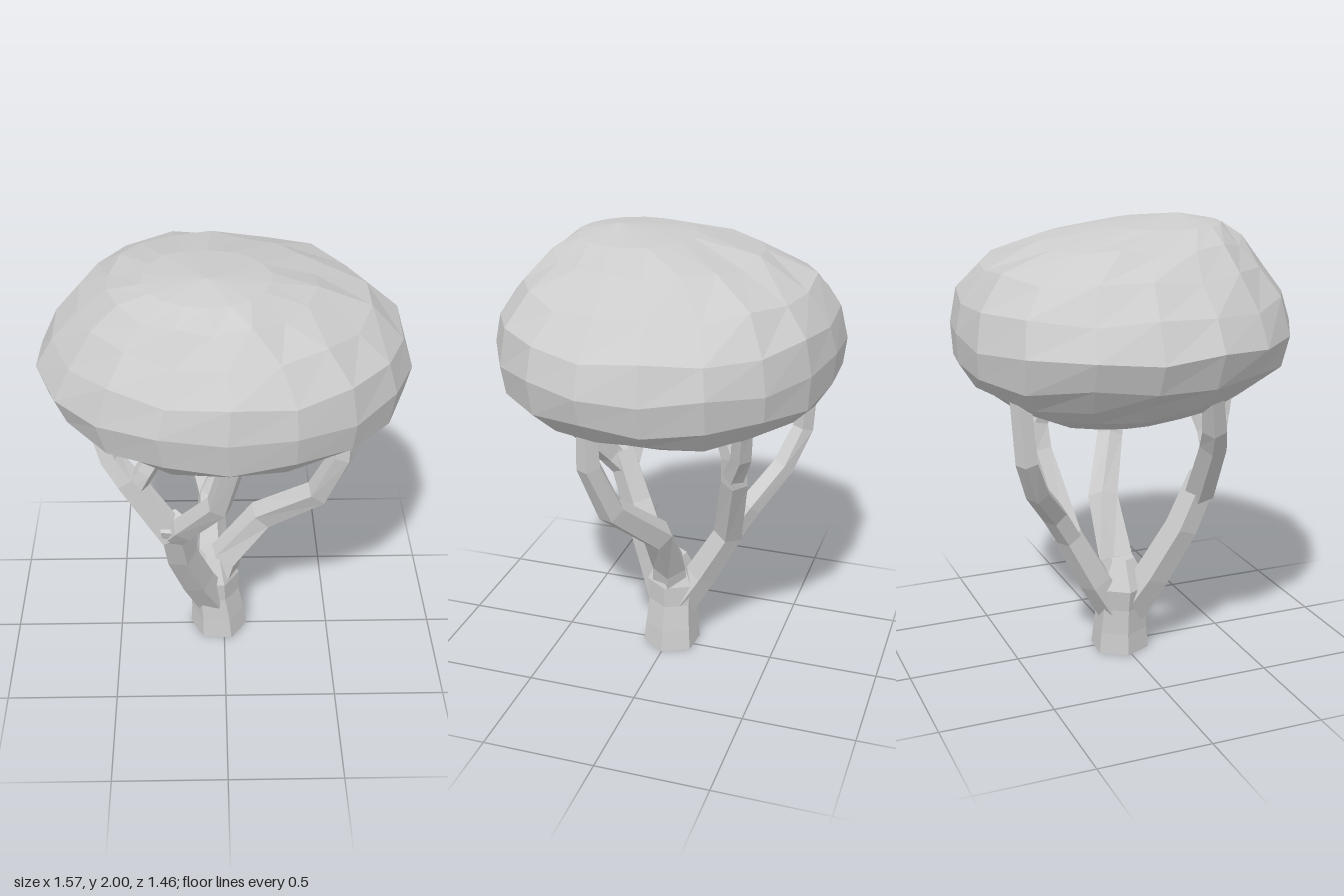
import * as THREE from 'three';

const V = (x, y, z) => new THREE.Vector3(x, y, z);

// Skins a list of equal-length rings (counter-clockwise about the path) and closes both ends.
function loft(rings, startCentre, endCentre) {
  const n = rings[0].length, pos = [];
  const tri = (...corners) => corners.forEach((p) => pos.push(p.x, p.y, p.z));
  const last = rings[rings.length - 1];
  for (let i = 0; i < n; i++) {
    const k = (i + 1) % n;
    for (let j = 0; j < rings.length - 1; j++) {
      tri(rings[j][i], rings[j][k], rings[j + 1][k]);
      tri(rings[j][i], rings[j + 1][k], rings[j + 1][i]);
    }
    tri(startCentre, rings[0][k], rings[0][i]);
    tri(endCentre, last[i], last[k]);
  }
  const geo = new THREE.BufferGeometry();
  geo.setAttribute('position', new THREE.Float32BufferAttribute(pos, 3));
  geo.computeVertexNormals();
  return geo;
}

// Faceted limb along a path, its radius tapering from r0 to r1.
function limbGeometry(r0, r1, ...path) {
  const sides = 5, c = path.map((p) => V(...p)), end = c.length - 1;
  const rings = c.map((p, j) => {
    const t = c[Math.min(j + 1, end)].clone().sub(c[Math.max(j - 1, 0)]).normalize();
    const v = V(1, 0, 0).addScaledVector(t, -t.x).normalize();
    const u = v.clone().cross(t);
    const r = THREE.MathUtils.lerp(r0, r1, j / end);
    return Array.from({ length: sides }, (_, i) => {
      const a = (i / sides) * Math.PI * 2 + 0.45;
      return p.clone().addScaledVector(u, r * Math.cos(a)).addScaledVector(v, r * Math.sin(a));
    });
  });
  return loft(rings, c[0], c[end]);
}

// Trunk: short waisted hexagon, level rings from [centre x, y, radius]
function trunkGeometry() {
  const rings = [[-0.025, 0, 0.135], [-0.03, 0.1, 0.125], [-0.045, 0.22, 0.115], [-0.055, 0.32, 0.125], [-0.05, 0.45, 0.06]]
    .map(([x, y, r]) => Array.from({ length: 6 }, (_, i) => {
      const a = (i / 6) * Math.PI * 2 + 0.45;
      return V(x + r * Math.sin(a), y, r * Math.cos(a) - 0.01);
    }));
  return loft(rings, V(-0.025, 0, -0.01), V(-0.05, 0.45, -0.01));
}

// Crown: off-centre elliptical rings with a fuller back right corner and a gentle wobble
function crownGeometry() {
  // y, xMin, xMax, zMin, zMax
  const levels = [
    [1.18, -0.44, 0.25, -0.4, 0.2],
    [1.24, -0.58, 0.52, -0.54, 0.44],
    [1.31, -0.66, 0.68, -0.65, 0.6],
    [1.4, -0.745, 0.77, -0.72, 0.71],
    [1.53, -0.795, 0.795, -0.73, 0.73],
    [1.67, -0.72, 0.75, -0.7, 0.705],
    [1.8, -0.61, 0.61, -0.6, 0.61],
    [1.9, -0.48, 0.38, -0.38, 0.51],
    [1.965, -0.33, 0.19, -0.08, 0.42],
  ];
  const rings = levels.map(([y, x0, x1, z0, z1], j) => Array.from({ length: 18 }, (_, i) => {
    const a = (i / 18) * Math.PI * 2;
    const r = 1 + 0.1 * Math.exp(-(((a - 3.75) / 0.35) ** 2));
    const wobble = j > 1 && j < 8 ? 0.014 * Math.sin(i * 2.3 + j * 1.7) : 0;
    return V(
      (x0 + x1 + r * Math.sin(a) * (x1 - x0)) / 2,
      y + wobble,
      (z0 + z1 + r * Math.cos(a) * (z1 - z0)) / 2);
  }));
  return loft(rings, V(-0.1, 1.165, -0.1), V(-0.07, 2, 0.24));
}

export function createModel() {
  const group = new THREE.Group();
  group.name = 'tree';
  const grey = new THREE.MeshStandardMaterial({ color: 0xcccccc, flatShading: true });
  grey.name = 'plainGrey';
  const add = (name, geometry) => {
    const mesh = new THREE.Mesh(geometry, grey);
    mesh.name = name;
    group.add(mesh);
  };

  add('crown', crownGeometry());
  add('trunk', trunkGeometry());

  // Front limb, forking to the front and to the right
  add('frontLimb', limbGeometry(0.09, 0.07, [-0.06, 0.2, 0.02], [-0.13, 0.38, 0.11], [-0.2, 0.62, 0.22], [-0.23, 0.86, 0.31]));
  add('frontBranch', limbGeometry(0.06, 0.055, [-0.22, 0.78, 0.29], [-0.18, 0.86, 0.35], [-0.03, 1.07, 0.47], [0.03, 1.34, 0.54]));
  add('rightBranch', limbGeometry(0.068, 0.048, [-0.23, 0.78, 0.29], [-0.42, 1.06, 0.26], [-0.49, 1.15, 0.23], [-0.56, 1.36, 0.18]));
  add('rightTwig', limbGeometry(0.05, 0.045, [-0.39, 1.02, 0.27], [-0.34, 1.11, 0.27], [-0.25, 1.25, 0.24]));

  // Left limb, a single sweep
  add('leftLimb', limbGeometry(0.09, 0.045, [-0.05, 0.24, 0], [0.01, 0.42, -0.01], [0.18, 0.66, -0.01], [0.42, 0.88, 0.12], [0.51, 1.12, 0.18], [0.52, 1.32, 0.18]));

  // Back limb with its branch and twig
  add('backLimb', limbGeometry(0.085, 0.048, [-0.04, 0.2, -0.04], [-0.06, 0.36, -0.14], [-0.06, 0.6, -0.27], [0.11, 0.95, -0.34], [0.14, 1.08, -0.34], [0.12, 1.26, -0.27]));
  add('backTwig', limbGeometry(0.05, 0.045, [0.13, 0.98, -0.34], [0.2, 1.11, -0.39], [0.26, 1.28, -0.41]));
  add('backBranch', limbGeometry(0.06, 0.046, [-0.06, 0.56, -0.25], [-0.11, 0.72, -0.35], [-0.24, 0.88, -0.47], [-0.33, 1.05, -0.54], [-0.32, 1.34, -0.56]));
  return group;
}
